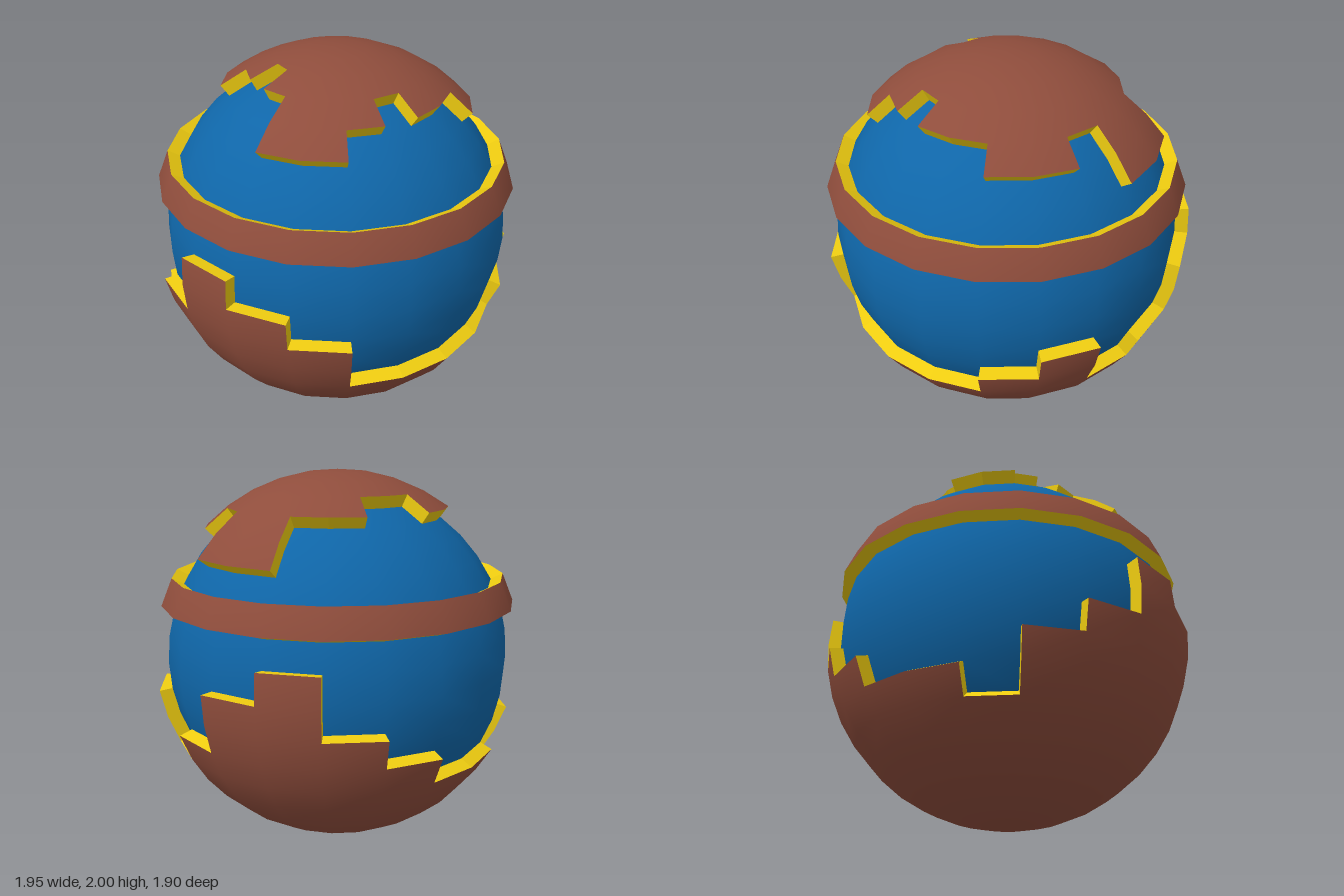
import * as THREE from 'three';

const COLS = 20;              // columns around
const ROWS = 10;              // rows from the equator to each pole
const OUTER = 1, INNER = 0.928;

// Row reached by each column, counted from the front towards +x
const southTop = [-3, -3, -2, -1, -3, -2, 0, 1, -1, -2, -3, -3, -4, -2, -1, 1, 0, -1, -3, -3];
const northBottom = [6, 6, 5, 5, 6, 4, 4, 6, 6, 7, 7, 6, 6, 7, 8, 7, 5, 5, 6, 7];

const mat = (color) => new THREE.MeshStandardMaterial({ color });

// Point on the globe grid
function gridPoint([col, row], radius) {
  const a = (col / COLS) * Math.PI * 2;
  const b = (row / ROWS) * Math.PI / 2;
  const r = Math.abs(row) === ROWS ? 0 : radius * Math.cos(b);
  return new THREE.Vector3(r * Math.sin(a), radius * Math.sin(b), r * Math.cos(a));
}

function geometryFrom(points) {
  const geo = new THREE.BufferGeometry().setFromPoints(points);
  geo.computeVertexNormals();
  return geo;
}

// Raised crust made of every grid cell for which filled(col, row) is true
function crust(name, filled, skinMat, edgeMat) {
  const skin = [], edge = [];
  const has = (c, r) => r < -ROWS || r >= ROWS || filled((c + COLS) % COLS, r);
  for (let c = 0; c < COLS; c++) {
    for (let r = -ROWS; r < ROWS; r++) {
      if (!filled(c, r)) continue;
      const corners = [[c, r], [c + 1, r], [c + 1, r + 1], [c, r + 1]];
      const p = corners.map((k) => gridPoint(k, OUTER));
      // Outer surface, one triangle at the poles
      if (r > -ROWS) skin.push(p[0], p[1], p[2]);
      if (r < ROWS - 1) skin.push(p[0], p[2], p[3]);
      // Radial walls where the neighbouring cell is empty
      const neighbours = [[c, r - 1], [c + 1, r], [c, r + 1], [c - 1, r]];
      neighbours.forEach(([nc, nr], i) => {
        if (has(nc, nr)) return;
        const j = (i + 1) % 4;
        const ai = gridPoint(corners[i], INNER), bi = gridPoint(corners[j], INNER);
        edge.push(p[i], ai, bi, p[i], bi, p[j]);
      });
    }
  }
  // Smooth spherical normals on the skin, flat ones on the walls
  const skinGeo = geometryFrom(skin);
  skin.forEach((v, i) => {
    const n = v.clone().normalize();
    skinGeo.attributes.normal.setXYZ(i, n.x, n.y, n.z);
  });
  const group = new THREE.Group();
  group.name = name;
  const surface = new THREE.Mesh(skinGeo, skinMat);
  surface.name = name + 'Surface';
  const walls = new THREE.Mesh(geometryFrom(edge), edgeMat);
  walls.name = name + 'Edge';
  group.add(surface, walls);
  return group;
}

export function createModel() {
  const model = new THREE.Group();
  model.name = 'layeredGlobe';
  const brown = mat(0x8f4d3c), yellow = mat(0xeecc10), blue = mat(0x0f66a8);

  // Inner ball
  const core = new THREE.Mesh(new THREE.SphereGeometry(0.93, COLS, ROWS * 2), blue);
  core.name = 'innerBall';

  model.add(
    core,
    crust('lowerShell', (c, r) => r < southTop[c], brown, yellow),
    crust('beltRing', (c, r) => r === 2, brown, yellow),
    crust('upperCap', (c, r) => r >= northBottom[c], brown, yellow),
  );
  // Stand on the ground, centred on its widest extents
  model.children.forEach((part) => part.position.set(0.0245, 1, 0));
  return model;
}
